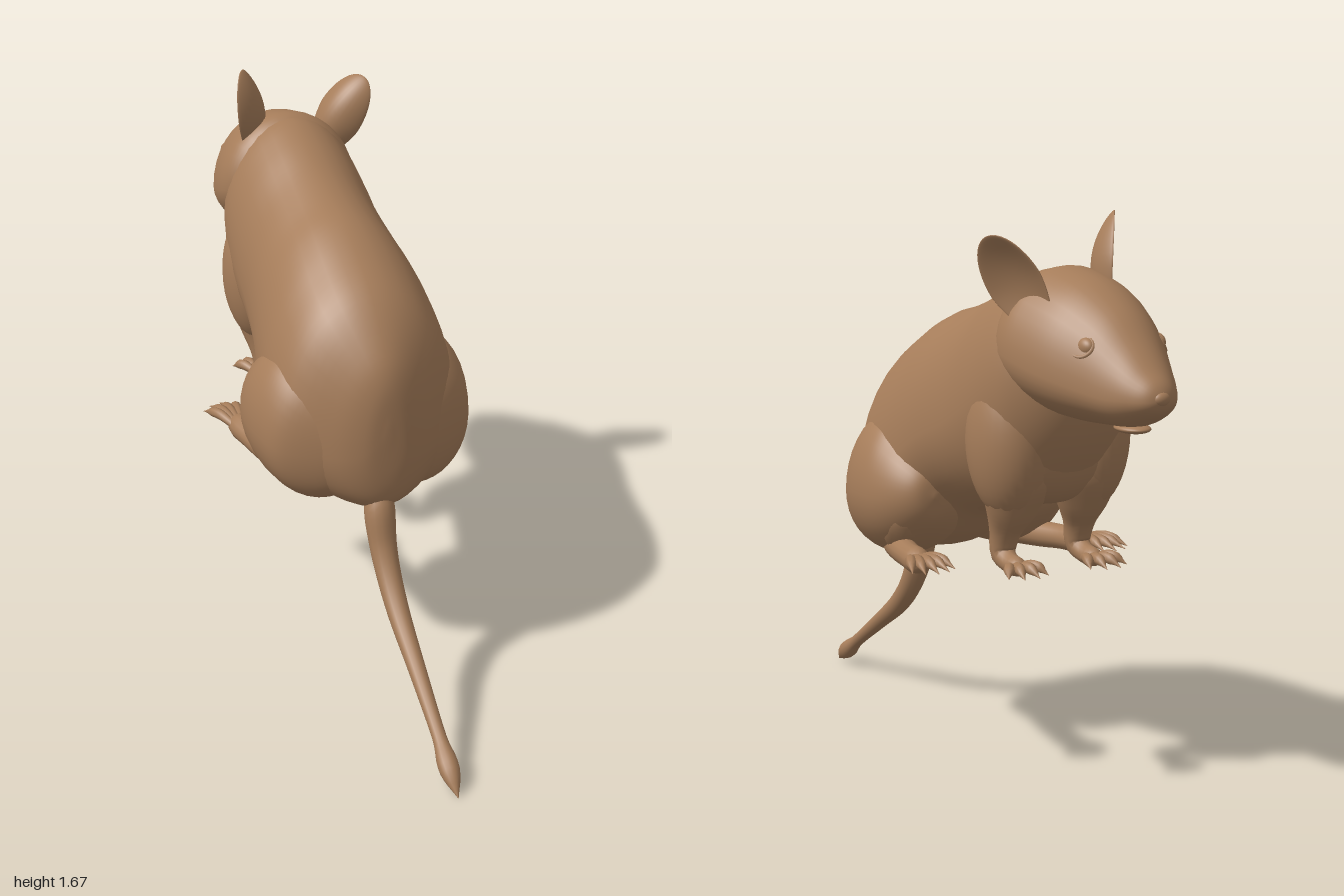
import * as THREE from 'three';
import { mergeVertices } from 'three/addons/utils/BufferGeometryUtils.js';

const fur = new THREE.MeshStandardMaterial({ color: 0xa67d5a });
fur.name = 'brownFur';

function part(name, geometry, parent) {
  const mesh = new THREE.Mesh(geometry, fur);
  mesh.name = name;
  parent.add(mesh);
  return mesh;
}

// Weld seams and shade smoothly
function smooth(geometry) {
  geometry.deleteAttribute('uv');
  geometry.deleteAttribute('normal');
  const g = mergeVertices(geometry, 1e-5);
  g.computeVertexNormals();
  return g;
}

// Skin through upright sections from rear to nose:
// [z, top, bottom, halfWidth, height fraction of the widest point, centreX]
function loft(sections, steps = 48, sides = 36) {
  const curve = (f) => new THREE.CatmullRomCurve3(sections.map(f), false, 'catmullrom', 0.5);
  const heights = curve((s) => new THREE.Vector3(s[0], s[1], s[2]));
  const widths = curve((s) => new THREE.Vector3(s[3], s[4], s[5] || 0));
  const pos = [], idx = [];
  for (let i = 0; i <= steps; i++) {
    const h = heights.getPoint(i / steps), w = widths.getPoint(i / steps);
    const mid = h.z + (h.y - h.z) * w.y;
    for (let j = 0; j < sides; j++) {
      const a = (j / sides) * Math.PI * 2, s = Math.sin(a);
      pos.push(w.z + Math.max(w.x, 0) * Math.cos(a), mid + s * (s > 0 ? h.y - mid : mid - h.z), h.x);
      if (i < steps) {
        const p = i * sides + j, q = i * sides + (j + 1) % sides;
        idx.push(p, p + sides, q, q, p + sides, q + sides);
      }
    }
  }
  const g = new THREE.BufferGeometry();
  g.setAttribute('position', new THREE.Float32BufferAttribute(pos, 3));
  g.setIndex(idx);
  return smooth(g);
}

// Tube of varying radius through points [x, y, z, radius]
function taper(points, steps = 20, sides = 14) {
  const path = new THREE.CatmullRomCurve3(points.map((p) => new THREE.Vector3(p[0], p[1], p[2])));
  const radii = new THREE.CatmullRomCurve3(points.map((p) => new THREE.Vector3(p[3], 0, 0)), false, 'catmullrom', 0.5);
  const g = new THREE.TubeGeometry(path, steps, 1, sides);
  const pos = g.attributes.position, v = new THREE.Vector3();
  for (let i = 0; i <= steps; i++) {
    const c = path.getPointAt(i / steps);
    const r = Math.max(radii.getPoint(path.getUtoTmapping(i / steps)).x, 0.0005);
    for (let j = 0; j <= sides; j++) {
      const k = i * (sides + 1) + j;
      v.fromBufferAttribute(pos, k).sub(c).multiplyScalar(r).add(c);
      pos.setXYZ(k, v.x, v.y, v.z);
    }
  }
  return smooth(g);
}

function ellipsoid(x, y, z, rx, ry, rz) {
  return new THREE.SphereGeometry(1, 32, 22).scale(rx, ry, rz).translate(x, y, z);
}

// Thin cupped oval, narrow at the base, hollow side facing across x up
function ear(name, centre, across, up, parent) {
  const g = new THREE.SphereGeometry(1, 32, 24);
  const p = g.attributes.position;
  for (let i = 0; i < p.count; i++) {
    const x = p.getX(i), y = p.getY(i), z = p.getZ(i);
    const narrow = y < 0 ? 1 + 0.2 * y : 1;
    p.setXYZ(i, x * 0.084 * narrow, y * 0.153, z * 0.014 - 0.045 * (1 - x * x - y * y));
  }
  const Y = new THREE.Vector3(...up).normalize();
  const Z = new THREE.Vector3(...across).cross(Y).normalize();
  const X = Y.clone().cross(Z);
  g.applyMatrix4(new THREE.Matrix4().makeBasis(X, Y, Z).setPosition(...centre));
  part(name, smooth(g), parent);
}

// Fan of clawed toes
function toes(name, s, x, y, z, count, length, spread, turn, parent) {
  for (let i = 0; i < count; i++) {
    const k = i / (count - 1) - 0.5;
    const a = k * spread + turn;
    const len = length * (1 - 0.8 * k * k);
    const at = (d, h, r) => [s * (x + k * 0.055 + Math.sin(a) * d), y + h, z - Math.cos(a) * d, r];
    part(name, taper([
      at(-0.03, 0, 0.012), at(len * 0.3, 0.012, 0.016), at(len * 0.6, 0.008, 0.015),
      at(len * 0.75, 0.002, 0.008), at(len, -0.008, 0),
    ], 12, 8), parent);
  }
}

export function createModel() {
  const model = new THREE.Group();
  model.name = 'rodent';
  model.position.x = -0.015;

  part('body', loft([
    [0.405, 0.86, 0.86, 0, 0.4], [0.395, 1.0, 0.66, 0.075, 0.38], [0.35, 1.1, 0.59, 0.16, 0.36],
    [0.25, 1.215, 0.585, 0.265, 0.34], [0.12, 1.295, 0.605, 0.285, 0.36], [0, 1.35, 0.66, 0.272, 0.38],
    [-0.12, 1.38, 0.75, 0.252, 0.4], [-0.25, 1.425, 0.79, 0.238, 0.42], [-0.38, 1.48, 0.82, 0.235, 0.46],
    [-0.5, 1.515, 0.87, 0.224, 0.5], [-0.58, 1.49, 0.95, 0.195, 0.5],
    [-0.65, 1.4, 1.07, 0.12, 0.45], [-0.69, 1.22, 1.22, 0, 0.4],
  ], 60), model);
  part('chest', ellipsoid(0, 1.03, -0.46, 0.22, 0.185, 0.135), model);

  // Head, slightly turned
  const head = new THREE.Group();
  head.name = 'head';
  model.add(head);
  part('skull', loft([
    [-0.42, 1.34, 1.34, 0, 0.4], [-0.44, 1.43, 1.25, 0.12, 0.4], [-0.475, 1.49, 1.185, 0.185, 0.4],
    [-0.53, 1.522, 1.145, 0.213, 0.4, -0.005], [-0.6, 1.515, 1.122, 0.212, 0.39, -0.01],
    [-0.7, 1.485, 1.115, 0.19, 0.36, -0.015], [-0.8, 1.425, 1.118, 0.15, 0.34, -0.02],
    [-0.88, 1.35, 1.125, 0.113, 0.36, -0.02], [-0.94, 1.29, 1.148, 0.08, 0.4, -0.02],
    [-0.98, 1.25, 1.175, 0.045, 0.4, -0.02], [-0.998, 1.21, 1.21, 0, 0.4, -0.02],
  ]), head);
  part('lowerLip', ellipsoid(-0.02, 1.118, -0.85, 0.045, 0.014, 0.06), head);
  part('nose', ellipsoid(-0.02, 1.213, -0.982, 0.026, 0.02, 0.018), head);
  ear('leftEar', [0.185, 1.48, -0.585], [-0.6, 0, -0.8], [0.48, 0.86, 0.25], head);
  ear('rightEar', [-0.125, 1.52, -0.575], [-0.5, 0, 0.8], [-0.16, 0.96, 0.2], head);

  // Paired parts
  for (const s of [1, -1]) {
    const side = s > 0 ? 'left' : 'right';
    part(side + 'Eye', ellipsoid(-0.02 + s * 0.11, 1.333, -0.79, 0.022, 0.026, 0.034), head);
    const rim = part(side + 'EyeRim', new THREE.TorusGeometry(0.034, 0.006, 8, 28), head);
    rim.position.set(-0.02 + s * 0.122, 1.333, -0.79);
    rim.scale.y = 0.85;
    rim.rotation.set(-0.5, s * (Math.PI / 2 + 0.4), 0, 'YXZ');

    const fore = new THREE.Group();
    fore.name = side + 'FrontLeg';
    model.add(fore);
    part('shoulder', ellipsoid(s * 0.125, 1.04, -0.45, 0.12, 0.23, 0.14), fore);
    part('foreleg', taper([
      [s * 0.1, 1.08, -0.46, 0.06], [s * 0.11, 0.95, -0.46, 0.11], [s * 0.116, 0.85, -0.445, 0.08],
      [s * 0.122, 0.77, -0.42, 0.047], [s * 0.124, 0.705, -0.412, 0.037],
      [s * 0.125, 0.684, -0.45, 0.03], [s * 0.125, 0.68, -0.51, 0.025], [s * 0.125, 0.68, -0.53, 0],
    ], 30), fore);
    toes('frontToe', s, 0.125, 0.674, -0.5, 4, 0.1, 0.9, 0.08, fore);

    const hind = new THREE.Group();
    hind.name = side + 'HindLeg';
    model.add(hind);
    part('haunch', loft([
      [0.36, 0.8, 0.8, 0, 0.45, s * 0.1], [0.335, 0.9, 0.67, 0.065, 0.45, s * 0.115],
      [0.27, 0.99, 0.605, 0.145, 0.45, s * 0.145], [0.18, 1.045, 0.595, 0.17, 0.45, s * 0.162],
      [0.08, 1.045, 0.605, 0.176, 0.45, s * 0.165], [0, 1.0, 0.635, 0.16, 0.46, s * 0.168],
      [-0.07, 0.945, 0.69, 0.12, 0.48, s * 0.175], [-0.115, 0.89, 0.75, 0.065, 0.5, s * 0.185],
      [-0.13, 0.82, 0.82, 0, 0.5, s * 0.19],
    ]), hind);
    part('shin', taper([
      [s * 0.2, 0.83, 0.06, 0.07], [s * 0.215, 0.77, 0.0, 0.09], [s * 0.225, 0.7, 0.03, 0.07], [s * 0.22, 0.64, 0.06, 0.035],
    ]), hind);
    part('hindFoot', taper([
      [s * 0.18, 0.645, 0.22, 0.02], [s * 0.2, 0.64, 0.12, 0.045], [s * 0.235, 0.638, 0.0, 0.042],
      [s * 0.262, 0.643, -0.1, 0.038], [s * 0.28, 0.648, -0.19, 0.037], [s * 0.288, 0.65, -0.24, 0],
    ]), hind);
    toes('hindToe', s, 0.285, 0.655, -0.2, 5, 0.155, 0.65, 0.08, hind);
  }

  // Tail with a tufted tip
  part('tail', taper([
    [0, 0.66, 0.33, 0.03], [-0.01, 0.59, 0.355, 0.046], [-0.01, 0.48, 0.39, 0.041], [-0.008, 0.4, 0.44, 0.037],
    [-0.006, 0.32, 0.52, 0.033], [-0.004, 0.22, 0.67, 0.026], [-0.003, 0.105, 0.85, 0.021],
    [-0.003, 0.065, 0.91, 0.03], [-0.003, 0.04, 0.95, 0.025], [-0.003, 0.004, 1.0, 0],
  ], 48), model);

  return model;
}
